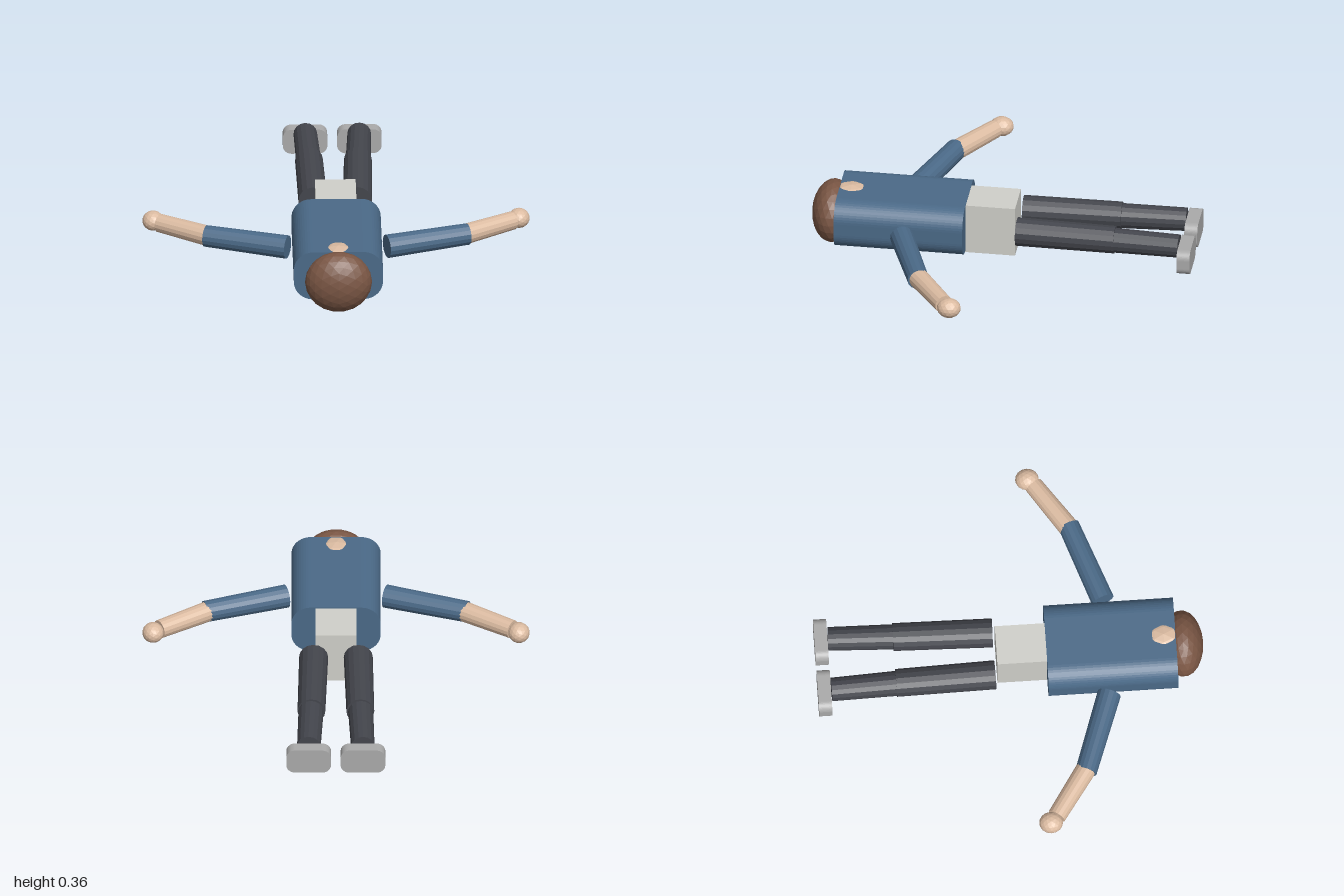
import * as THREE from 'three';

const mat = (color) => new THREE.MeshStandardMaterial({ color, flatShading: true });

export function createModel() {
  const model = new THREE.Group();
  const shirt = mat(0x4b6a88), skin = mat(0xdcbca2), hairMat = mat(0x7a5644);
  const trousers = mat(0x44464d), shoeMat = mat(0xaaaaaa), pelvisMat = mat(0xd0d0ca);
  const gold = mat(0xd0b060), dark = mat(0x222228), red = mat(0xa04a48);

  function add(name, geometry, material, x = 0, y = 0, z = 0) {
    const mesh = new THREE.Mesh(geometry, material);
    mesh.name = name;
    mesh.position.set(x, y, z);
    model.add(mesh);
    return mesh;
  }

  // Faceted ellipsoid
  function ball(name, material, pos, radii, detail = 3) {
    const mesh = add(name, new THREE.IcosahedronGeometry(1, detail), material, ...pos);
    mesh.scale.set(...radii);
    return mesh;
  }

  // Tapered limb from point a to point b
  function limb(name, material, a, b, ra, rb) {
    const from = new THREE.Vector3(...a), to = new THREE.Vector3(...b);
    const dir = to.clone().sub(from);
    const mesh = add(name, new THREE.CylinderGeometry(rb, ra, dir.length(), 16), material);
    mesh.position.copy(from).add(to).multiplyScalar(0.5);
    mesh.quaternion.setFromUnitVectors(new THREE.Vector3(0, 1, 0), dir.normalize());
    return mesh;
  }

  // Rounded rectangle extruded along z
  function slab(w, h, r, depth) {
    const s = new THREE.Shape();
    const x = w / 2 - r, y = h / 2 - r;
    s.absarc(x, y, r, 0, Math.PI / 2);
    s.absarc(-x, y, r, Math.PI / 2, Math.PI);
    s.absarc(-x, -y, r, Math.PI, Math.PI * 1.5);
    s.absarc(x, -y, r, Math.PI * 1.5, Math.PI * 2);
    return new THREE.ExtrudeGeometry(s, { depth, bevelEnabled: false, curveSegments: 6 });
  }

  // Body, lying face down with the head towards +z
  add('torso', slab(0.46, 0.265, 0.1, 0.67), shirt, 0, 0.212, 0.187);
  add('pelvis', new THREE.BoxGeometry(0.21, 0.277, 0.58), pelvisMat, 0, 0.202, 0.22);
  add('chestPlate', new THREE.BoxGeometry(0.4, 0.1, 0.018), gold, 0, 0.05, 0.49);

  // Head
  ball('head', skin, [0, 0.212, 0.795], [0.145, 0.143, 0.18]);
  ball('hair', hairMat, [0, 0.194, 0.892], [0.173, 0.163, 0.108]);
  add('mouth', new THREE.BoxGeometry(0.085, 0.01, 0.012), red, 0, 0.028, 0.745);

  for (const [side, s] of [['left', 1], ['right', -1]]) {
    ball(side + 'Eye', dark, [s * 0.062, 0.044, 0.826], [0.015, 0.015, 0.015], 1);

    // Arms
    limb(side + 'UpperArm', shirt, [s * 0.256, 0.215, 0.498], [s * 0.676, 0.215, 0.35], 0.061, 0.056);
    limb(side + 'Forearm', skin, [s * 0.664, 0.215, 0.35], [s * 0.91, 0.215, 0.183], 0.053, 0.048);
    ball(side + 'Hand', skin, [s * 0.943, 0.215, 0.152], [0.056, 0.051, 0.062], 2);

    // Legs
    limb(side + 'Thigh', trousers, [s * 0.115, 0.215, -0.082], [s * 0.126, 0.215, -0.595], 0.075, 0.072);
    limb(side + 'Shin', trousers, [s * 0.128, 0.213, -0.595], [s * 0.139, 0.213, -0.93], 0.065, 0.061);
    add(side + 'Shoe', slab(0.23, 0.135, 0.045, 0.068), shoeMat, s * 0.14, 0.167, -1);
  }
  return model;
}
